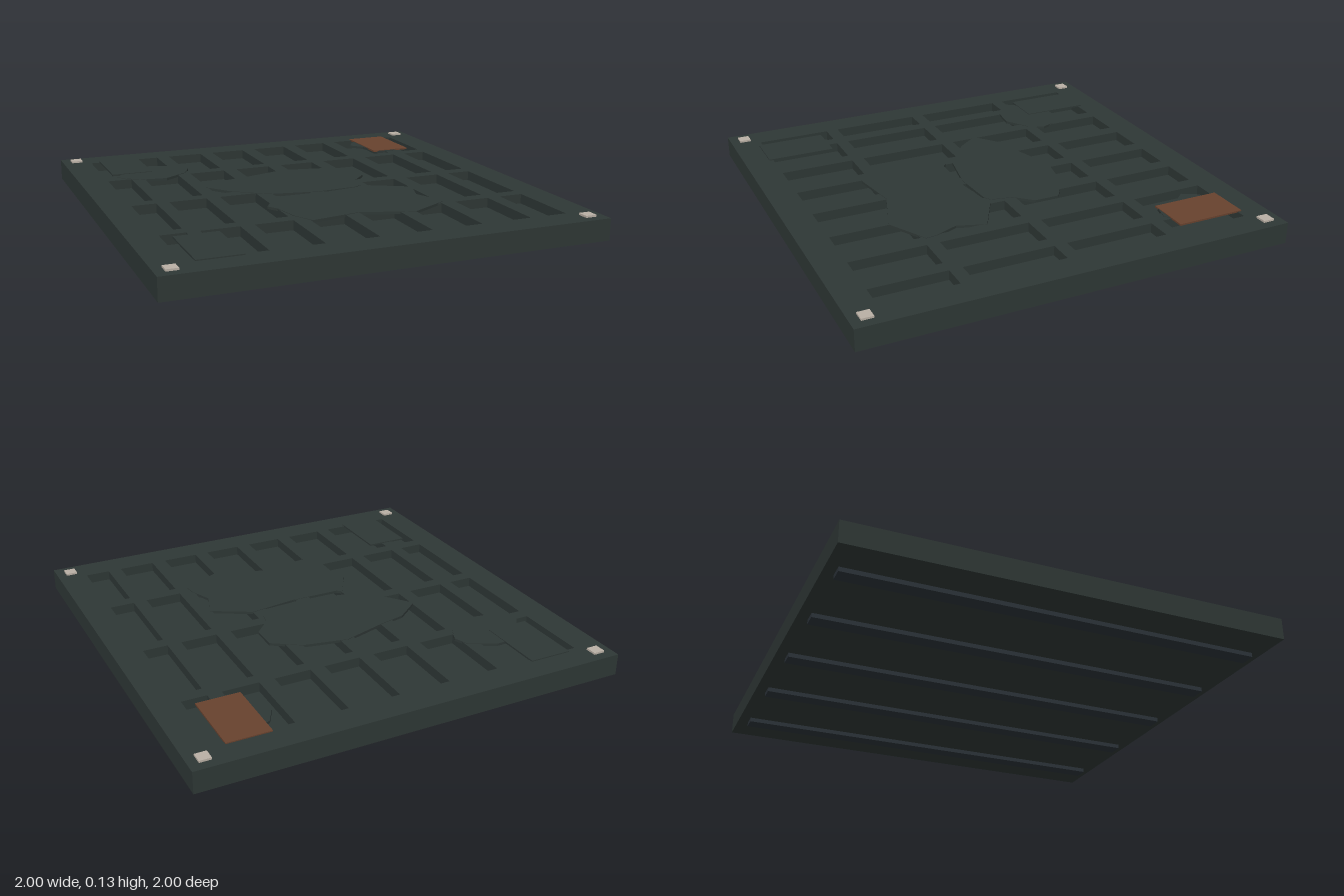
import * as THREE from 'three';

const mat = (name, color) => new THREE.MeshStandardMaterial({ name, color });

export function createModel() {
  const group = new THREE.Group();
  const steel = mat('dark steel', 0x2e3735);
  const runnerSteel = mat('runner steel', 0x2b3238);
  const rust = mat('rust', 0x68422e);
  const pale = mat('pale bolt', 0xb9afa4);

  const add = (name, geometry, material, x = 0, y = 0, z = 0) => {
    const mesh = new THREE.Mesh(geometry, material);
    mesh.name = name;
    mesh.position.set(x, y, z);
    group.add(mesh);
    return mesh;
  };
  const box = (name, w, h, d, material, x, y, z) =>
    add(name, new THREE.BoxGeometry(w, h, d), material, x, y, z);
  const outline = (points) => points.map(([x, z]) => new THREE.Vector2(x, z));
  // horizontal slab drawn in x/z, with its top at the given height
  const slab = (name, shape, top, thickness, material) => {
    const g = new THREE.ExtrudeGeometry(shape, { depth: thickness, bevelEnabled: false });
    g.rotateX(Math.PI / 2);
    return add(name, g, material, 0, top, 0);
  };

  // solid tray under the grid
  box('tray', 2, 0.055, 2, steel, 0, 0.0475, 0);

  // frame and crossing bars in one slab, cells cut as holes
  const grid = new THREE.Shape(outline([[-1, -1], [1, -1], [1, 1], [-1, 1]]));
  const columns = [[-0.865, -0.75], [-0.69, -0.515], [-0.45, -0.275], [-0.207, -0.035],
    [0.035, 0.207], [0.275, 0.445], [0.515, 0.685], [0.75, 0.865]];
  const rows = [[-0.865, -0.515], [-0.455, -0.033], [0.028, 0.45], [0.51, 0.862]];
  for (const [x0, x1] of columns) {
    for (const [z0, z1] of rows) {
      grid.holes.push(new THREE.Path(outline([[x0, z0], [x0, z1], [x1, z1], [x1, z0]])));
    }
  }
  slab('grate', grid, 0.12, 0.045, steel);

  // ragged sheets lying over the grid
  const patches = {
    rearCentrePatch: [[-0.46, -0.155], [-0.34, -0.25], [-0.21, -0.28], [0, -0.345],
      [0.207, -0.305], [0.335, -0.22], [0.335, -0.1], [0.26, -0.02], [0.24, 0.08],
      [0.207, 0.1], [0, 0.115], [-0.207, 0.075], [-0.275, 0.03], [-0.38, -0.05]],
    frontCentrePatch: [[-0.275, 0.22], [-0.21, 0.11], [-0.19, 0.13], [0.05, 0.132],
      [0.2, 0.11], [0.275, 0.1], [0.455, 0.2], [0.41, 0.33], [0.455, 0.44], [0.46, 0.49],
      [0.275, 0.59], [0.03, 0.51], [-0.2, 0.548], [-0.25, 0.45], [-0.275, 0.32], [-0.305, 0.27]],
    rearLeftPatch: [[-0.7, -0.68], [-0.58, -0.682], [-0.46, -0.62], [-0.435, -0.555],
      [-0.47, -0.48], [-0.585, -0.405], [-0.7, -0.42], [-0.75, -0.455], [-0.81, -0.51],
      [-0.77, -0.565]],
    rearRightPatch: [[0.56, -0.74], [0.6, -0.81], [0.7, -0.85], [0.79, -0.8],
      [0.8, -0.62], [0.72, -0.54], [0.64, -0.56], [0.61, -0.68]],
  };
  for (const [name, points] of Object.entries(patches)) {
    slab(name, new THREE.Shape(outline(points)), 0.122, 0.012, steel);
  }

  // repair plates near three corners, one of them rusty
  for (const [name, x, z, material] of [['rustyPlate', 0.72, -0.722, rust],
    ['rearPlate', -0.72, -0.722, steel], ['frontPlate', -0.72, 0.718, steel]]) {
    box(name, 0.2, 0.008, 0.325, material, x, 0.121, z);
  }

  // corner bolts
  for (const x of [-0.93, 0.93]) {
    for (const z of [-0.93, 0.93]) box('cornerBolt', 0.053, 0.014, 0.053, pale, x, 0.122, z);
  }

  // runners underneath
  for (let i = -2; i <= 2; i++) {
    box('runner', 0.07, 0.025, 1.9, runnerSteel, i * 0.4, 0.0125, 0);
  }
  return group;
}
